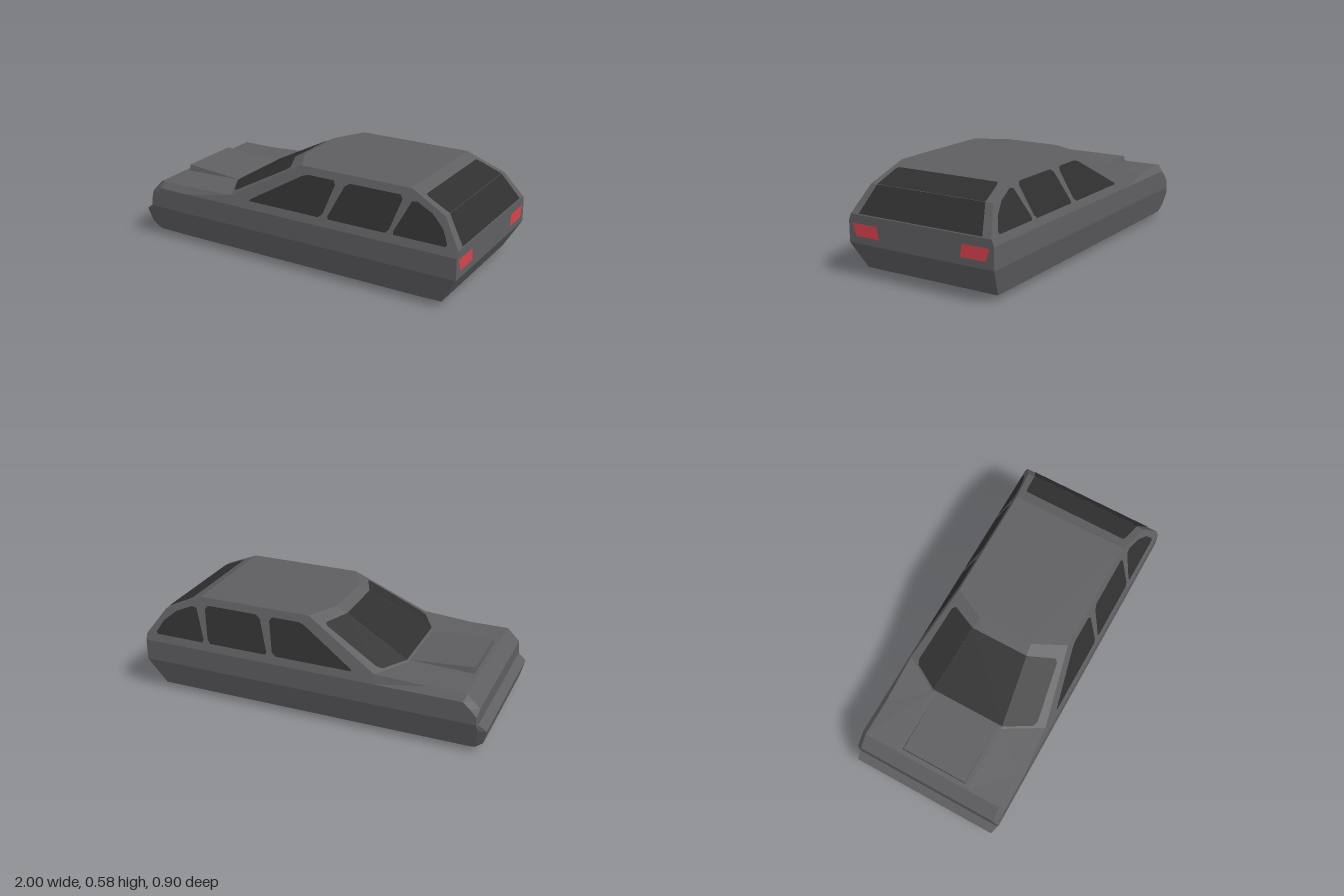
import * as THREE from 'three';

const mat = (name, color) => Object.assign(new THREE.MeshStandardMaterial({ color }), { name });
const V = (x, y, z) => new THREE.Vector3(x, y, z);
const flip = (pts) => pts.map((p) => V(p.x, p.y, -p.z));
const INSIDE = V(0, 0.25, 0);

// polygon normal, pointing away from the inside of the car
function outward(pts) {
  const n = V(0, 0, 0), c = V(0, 0, 0);
  pts.forEach((p, i) => {
    c.add(p);
    n.add(V(0, 0, 0).crossVectors(p, pts[(i + 1) % pts.length]));
  });
  c.divideScalar(pts.length).sub(INSIDE);
  const turned = n.dot(c) < 0;
  return { n: n.normalize().multiplyScalar(turned ? -1 : 1), turned };
}

// flat-faced mesh from convex polygons, optionally lifted off the surface
function panels(name, material, polygons, lift = 0) {
  const pos = [];
  for (const poly of polygons) {
    const { n, turned } = outward(poly);
    const pts = (turned ? [...poly].reverse() : poly).map((p) => p.clone().addScaledVector(n, lift));
    for (let i = 1; i < pts.length - 1; i++) {
      for (const p of [pts[0], pts[i], pts[i + 1]]) pos.push(p.x, p.y, p.z);
    }
  }
  const g = new THREE.BufferGeometry();
  g.setAttribute('position', new THREE.Float32BufferAttribute(pos, 3));
  g.computeVertexNormals();
  const mesh = new THREE.Mesh(g, material);
  mesh.name = name;
  return mesh;
}
const both = (polys) => polys.flatMap((p) => [p, flip(p)]);
const across = (a, b) => [a, b, ...flip([b, a])];

// inward-leaning plane of the cabin sides
const side = (x, y) => V(x, y, 0.45 - 0.4 * (y - 0.305));

export function createModel() {
  const car = new THREE.Group();
  car.name = 'car';
  const paint = mat('greyPaint', 0x5f5f62);
  const glass = mat('darkGlass', 0x303030);
  const red = mat('redLamp', 0xd8444c);

  // lower body levels: y, front x, front z, corner x, side z, rear x
  const levels = [
    [0, -0.84, 0.36, -0.82, 0.36, 0.71],
    [0.03, -0.94, 0.4, -0.92, 0.41, 0.91],
    [0.065, -0.98, 0.41, -0.94, 0.419, 0.93],
    [0.15, -1, 0.43, -0.955, 0.441, 0.98],
    [0.185, -0.955, 0.44, -0.945, 0.45, 1],
    [0.23, -0.955, 0.435, -0.945, 0.45, 1],
    [0.27, -0.955, 0.42, -0.91, 0.45, 1],
    [0.305, -0.92, 0.42, -0.87, 0.45, 1],
  ].map(([y, xf, zf, xc, z, xr]) => [
    V(xf, y, zf), V(xc, y, z), V(-0.67, y, z), V(-0.38, y, z), V(xr, y, z),
  ]);

  // shoulder line, windscreen base and roof corners
  const pillar = side(-0.38, 0.355), tail = side(1, 0.34);
  const shoulder = [V(-0.885, 0.34, 0.42), V(-0.87, 0.34, 0.42), V(-0.67, 0.34, 0.42), pillar, tail];
  levels.push(shoulder);
  const base = V(-0.5, 0.35, 0.22), brow = V(-0.06, 0.58, 0.16);
  const roofFront = side(0.03, 0.58), roofRear = side(0.69, 0.58), hatch = side(0.9, 0.485);

  const lower = [];
  for (let i = 0; i < levels.length - 1; i++) {
    const a = levels[i], b = levels[i + 1];
    for (let j = 0; j < 4; j++) lower.push(...both([[a[j], a[j + 1], b[j + 1], b[j]]]));
    lower.push(across(a[0], b[0]), across(a[4], b[4]));
  }
  lower.push([...levels[0], ...flip(levels[0]).reverse()]);
  car.add(panels('lowerBody', paint, lower));

  // bonnet with raised wedge
  const nose = V(-0.885, 0.34, 0.22);
  car.add(panels('bonnet', paint, [
    across(nose, base),
    ...both([[nose, shoulder[0], shoulder[2], base], [base, shoulder[2], pillar]]),
  ]));
  const wedgeFoot = V(-0.86, 0.338, 0.2), wedgeTop = V(-0.86, 0.375, 0.188), wedgeEnd = V(-0.5, 0.351, 0.195);
  car.add(panels('bonnetWedge', paint, [
    across(wedgeTop, wedgeEnd), across(wedgeFoot, wedgeTop),
    ...both([[wedgeFoot, wedgeTop, wedgeEnd]]),
  ]));

  // cabin shell
  car.add(panels('cabin', paint, [
    across(base, brow),
    [brow, roofFront, roofRear, ...flip([roofRear, roofFront, brow])],
    across(roofRear, hatch), across(hatch, tail),
    ...both([[base, pillar, roofFront, brow], [pillar, tail, hatch, roofRear, roofFront]]),
  ]));

  // wraparound windscreen
  const corner = (u, v) => base.clone().lerp(pillar, u).lerp(brow.clone().lerp(roofFront, u), v);
  car.add(panels('windscreen', glass, [
    across(corner(0, 0.03), corner(0, 0.86)),
    ...both([[corner(0, 0.03), corner(0.7, 0.03), corner(0.78, 0.08),
      corner(0.84, 0.79), corner(0.77, 0.84), corner(0, 0.86)]]),
  ], 0.003));

  // rear window over two facets
  const bend = V(0.9, 0.485, 0.336);
  car.add(panels('rearWindow', glass, [
    across(V(0.997, 0.344, 0.383), bend),
    [bend, V(0.778, 0.54, 0.32), V(0.756, 0.55, 0.31),
      ...flip([V(0.756, 0.55, 0.31), V(0.778, 0.54, 0.32), bend])],
  ], 0.003));

  // side windows
  const outlines = {
    frontSideWindow: [[-0.255, 0.347], [0.19, 0.347], [0.213, 0.365], [0.255, 0.52], [0.24, 0.54],
      [0.08, 0.54], [0.045, 0.528], [-0.25, 0.357]],
    rearSideWindow: [[0.25, 0.347], [0.59, 0.347], [0.61, 0.365], [0.652, 0.52], [0.637, 0.54],
      [0.34, 0.54], [0.312, 0.522], [0.245, 0.36]],
    quarterWindow: [[0.64, 0.347], [0.93, 0.347], [0.937, 0.36], [0.9, 0.425], [0.83, 0.484],
      [0.735, 0.524], [0.705, 0.518], [0.635, 0.362]],
  };
  for (const [name, pts] of Object.entries(outlines)) {
    car.add(panels(name, glass, both([pts.map(([x, y]) => side(x, y))]), 0.003));
  }

  // tail lamps
  car.add(panels('tailLamps', red, both([
    [V(1, 0.293, 0.425), V(1, 0.225, 0.402), V(1, 0.225, 0.252), V(1, 0.293, 0.266)],
  ]), 0.002));
  return car;
}
